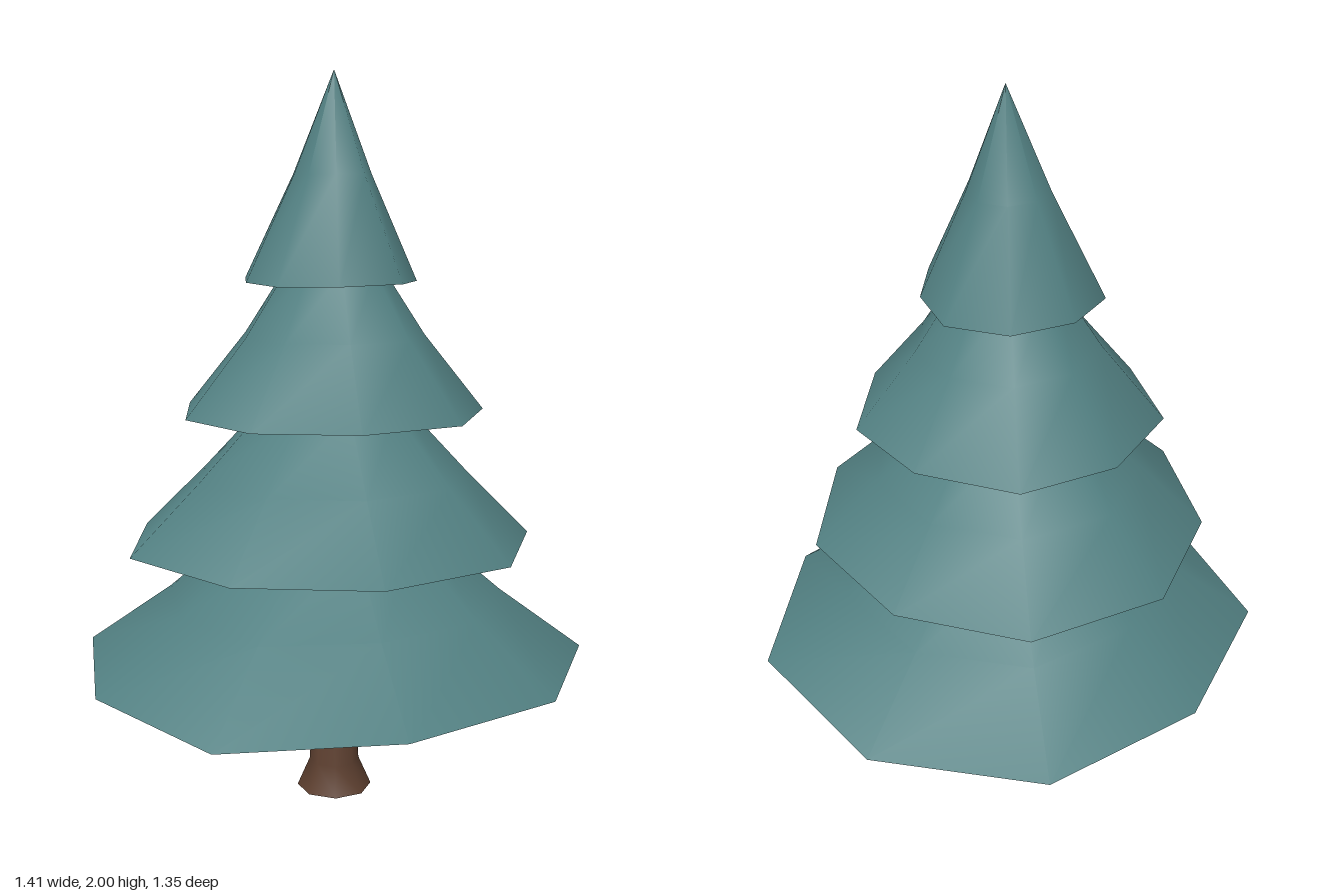
import * as THREE from 'three';

const CENTRE_X = -0.015;

// Skirt of foliage: an uneven nine-sided rim drawn in and up through rings [scale, y]
function skirtGeometry(rim, rimY, lift, rings) {
  const n = rim.length, pos = [], index = [];
  const maxZ = Math.max(...rim.map(p => Math.abs(p[1])));
  const rimHeight = z => rimY + lift * (z / maxZ) ** 2;
  [[1, rimY], ...rings].forEach(([s, y], r) => {
    for (const [x, z] of rim) {
      pos.push(CENTRE_X + (x - CENTRE_X) * s, r === 0 ? rimHeight(z) : y, z * s);
    }
  });
  for (let r = 0; r < rings.length; r++) {
    for (let i = 0; i < n; i++) {
      const j = (i + 1) % n, a = r * n + i, b = r * n + j;
      index.push(a, b, b + n, a, b + n, a + n);
    }
  }
  const geo = new THREE.BufferGeometry();
  geo.setAttribute('position', new THREE.Float32BufferAttribute(pos, 3));
  geo.setIndex(index);
  geo.computeVertexNormals();
  return geo;
}

// Closing face under a skirt
function undersideGeometry(rim, rimY, lift) {
  const n = rim.length, pos = [], index = [];
  const maxZ = Math.max(...rim.map(p => Math.abs(p[1])));
  for (const [x, z] of rim) pos.push(x, rimY + lift * (z / maxZ) ** 2, z);
  pos.push(CENTRE_X, rimY + lift, 0);
  for (let i = 0; i < n; i++) index.push(n, (i + 1) % n, i);
  const geo = new THREE.BufferGeometry();
  geo.setAttribute('position', new THREE.Float32BufferAttribute(pos, 3));
  geo.setIndex(index);
  geo.computeVertexNormals();
  return geo;
}

export function createModel() {
  const tree = new THREE.Group();
  tree.name = 'pineTree';

  const needles = new THREE.MeshStandardMaterial({ color: 0x528082 });
  needles.name = 'needleTeal';
  const bark = new THREE.MeshStandardMaterial({ color: 0x5e4030 });
  bark.name = 'barkBrown';

  // Rims run anticlockwise seen from above, as [x, z]
  const tiers = [
    { name: 'bottomTier', y: 0.375, lift: 0.015,
      rim: [[0.7, -0.01], [0.53, -0.47], [0.1, -0.68], [-0.38, -0.63], [-0.67, -0.25],
        [-0.71, 0.24], [-0.36, 0.56], [0.1, 0.67], [0.54, 0.46]],
      rings: [[0.66, 0.565], [0.35, 0.76]] },
    { name: 'lowerMiddleTier', y: 0.735, lift: 0.003,
      rim: [[0.525, 0.01], [0.43, -0.35], [0.1, -0.56], [-0.27, -0.5], [-0.55, -0.24],
        [-0.56, 0.15], [-0.33, 0.455], [0.05, 0.555], [0.39, 0.37]],
      rings: [[0.67, 0.92], [0.35, 1.11]] },
    { name: 'upperMiddleTier', y: 1.09, lift: 0.003,
      rim: [[0.38, 0.03], [0.32, -0.25], [0.09, -0.4], [-0.19, -0.395], [-0.39, -0.19],
        [-0.415, 0.08], [-0.25, 0.31], [0.02, 0.415], [0.29, 0.28]],
      rings: [[0.6, 1.3], [0.32, 1.48]] },
    { name: 'topTier', y: 1.445, lift: 0.005,
      rim: [[0.23, 0.03], [0.19, -0.14], [0.05, -0.245], [-0.11, -0.245], [-0.22, -0.13],
        [-0.265, 0.03], [-0.18, 0.17], [-0.02, 0.245], [0.13, 0.17]],
      rings: [[0.45, 1.73], [0.001, 2]] },
  ];

  for (const { name, y, lift, rim, rings } of tiers) {
    const tier = new THREE.Group();
    tier.name = name;
    const skirt = new THREE.Mesh(skirtGeometry(rim, y, lift, rings), needles);
    skirt.name = name + 'Skirt';
    const underside = new THREE.Mesh(undersideGeometry(rim, y, lift), needles);
    underside.name = name + 'Underside';
    tier.add(skirt, underside);
    tree.add(tier);
  }

  // Trunk with a flared foot
  const profile = [[0, 0], [0.105, 0], [0.07, 0.08], [0.05, 0.42]]
    .map(([r, y]) => new THREE.Vector2(r, y));
  const trunk = new THREE.Mesh(new THREE.LatheGeometry(profile.slice(1), 8), bark);
  trunk.name = 'trunk';
  trunk.position.x = CENTRE_X;
  const foot = new THREE.Mesh(new THREE.CircleGeometry(0.105, 8), bark);
  foot.name = 'trunkBase';
  foot.rotation.x = Math.PI / 2;
  foot.position.x = CENTRE_X;
  tree.add(trunk, foot);

  return tree;
}
